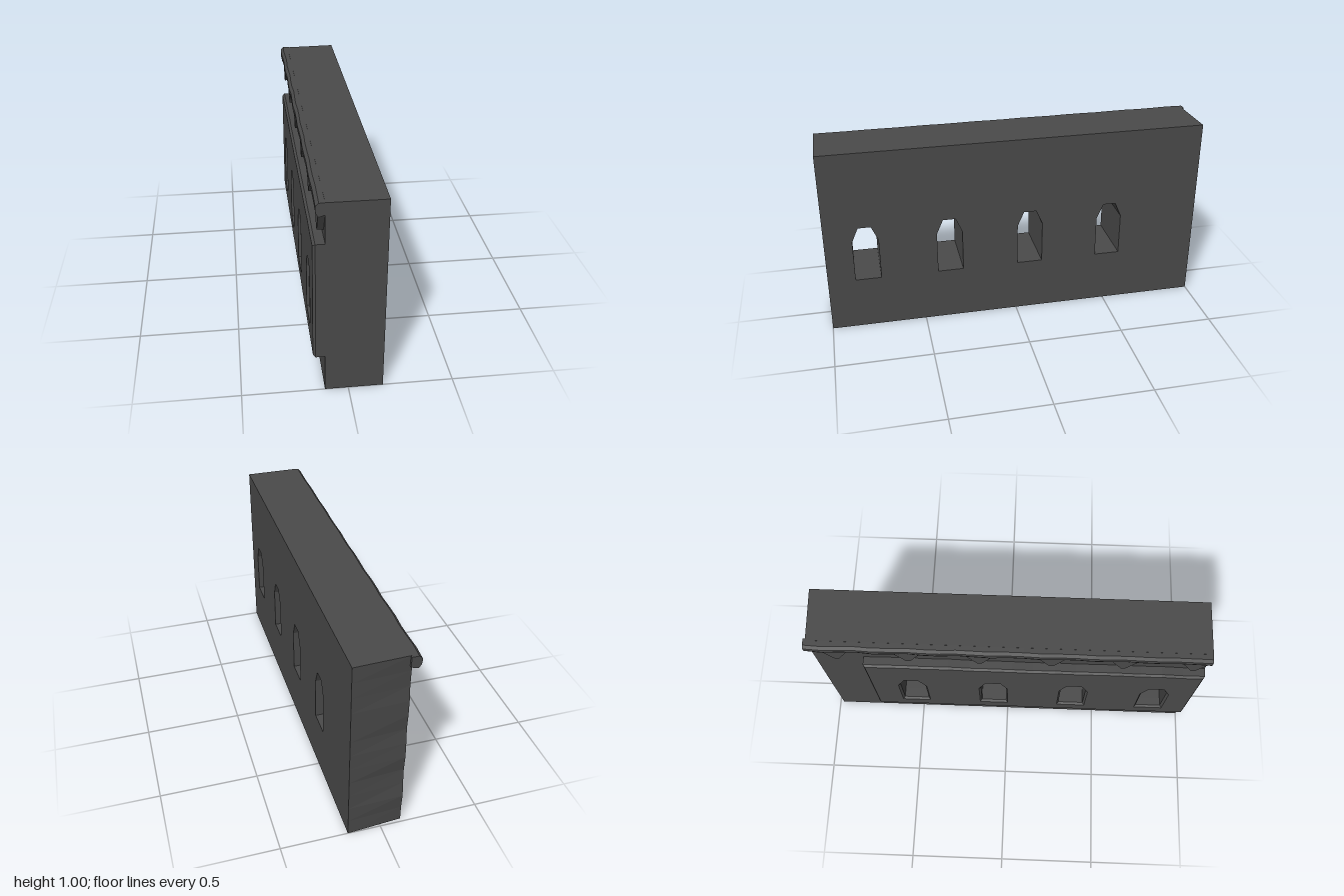
import * as THREE from 'three';

const stone = new THREE.MeshStandardMaterial({ color: 0x4a4a4a });
stone.name = 'dark stone';

const WINDOWS = [0.79, 0.355, -0.075, -0.51];
const BRACKETS = [-0.86, -0.5, -0.14, 0.22, 0.58, 0.93];

// small repeatable unevenness for worn edges
const wear = t => Math.sin(t * 23.1) * 0.6 + Math.sin(t * 51.7 + 1) * 0.4;

function add(group, name, geometry) {
  const mesh = new THREE.Mesh(geometry, stone);
  mesh.name = name;
  group.add(mesh);
}

// outlines are drawn in (z, y); the depth runs from x = fromX towards -x
function slab(shape, fromX, options) {
  const geo = new THREE.ExtrudeGeometry(shape, { bevelEnabled: false, ...options });
  geo.rotateY(-Math.PI / 2);
  geo.translate(fromX, 0, 0);
  return geo;
}

// pointed window openings
function cutWindows(shape) {
  for (const z of WINDOWS) {
    const pts = [[-0.067, 0.285], [-0.067, 0.51], [-0.033, 0.588], [0.033, 0.588], [0.067, 0.51], [0.067, 0.285]];
    shape.holes.push(new THREE.Path(pts.map(([dz, y]) => new THREE.Vector2(z + dz, y))));
  }
  return shape;
}

function wallGeometry() {
  const pts = [new THREE.Vector2(1, 0), new THREE.Vector2(1, 1)];
  for (let i = 0; i <= 12; i++) pts.push(new THREE.Vector2(-1, 1 - i / 12));
  const geo = slab(cutWindows(new THREE.Shape(pts)), 0.165, { depth: 0.275 });
  // chip the rear corner on the decorated side
  const p = geo.attributes.position;
  for (let i = 0; i < p.count; i++) {
    if (p.getX(i) < -0.1 && p.getZ(i) < -0.99) p.setZ(i, -0.985 + 0.012 * wear(p.getY(i)));
  }
  geo.computeVertexNormals();
  return geo;
}

function panelGeometry() {
  const pts = [];
  const n = 16;
  for (let i = 0; i <= n; i++) {
    const z = -0.735 + 1.735 * i / n;
    pts.push(new THREE.Vector2(z, 0.194 + 0.004 * wear(z)));
  }
  for (let i = n; i >= 0; i--) {
    const z = -0.735 + 1.735 * i / n;
    pts.push(new THREE.Vector2(z, 0.8 + 0.005 * wear(z + 2)));
  }
  return slab(cutWindows(new THREE.Shape(pts)), -0.1, {
    depth: 0.053, bevelEnabled: true, bevelThickness: 0.012,
    bevelSize: 0.01, bevelOffset: -0.01, bevelSegments: 1
  });
}

// rounded ledge: one profile swept along z, with a worn lip
function corniceGeometry() {
  const profile = [[-0.1, 0.945], [-0.137, 0.933], [-0.15, 0.948], [-0.154, 0.965], [-0.153, 0.985], [-0.138, 0.999], [-0.1, 0.999]];
  const shape = new THREE.Shape(profile.map(([x, y]) => new THREE.Vector2(x, y)).reverse());
  const geo = new THREE.ExtrudeGeometry(shape, { depth: 2, steps: 24, bevelEnabled: false });
  geo.translate(0, 0, -1);
  const p = geo.attributes.position;
  for (let i = 0; i < p.count; i++) {
    if (p.getX(i) > -0.11) continue;
    const w = wear(p.getZ(i));
    p.setX(i, p.getX(i) + 0.004 * (w + 0.5));
    if (p.getY(i) < 0.96) p.setY(i, p.getY(i) + 0.006 * w);
  }
  geo.computeVertexNormals();
  return geo;
}

export function createModel() {
  const model = new THREE.Group();
  model.name = 'wallSegment';
  add(model, 'wall', wallGeometry());
  add(model, 'raisedPanel', panelGeometry());
  add(model, 'cornice', corniceGeometry());

  // triangular brackets below the ledge
  const brackets = new THREE.Group();
  brackets.name = 'brackets';
  for (const z of BRACKETS) {
    const half = Math.min(0.075, 1 - z);
    const tri = new THREE.Shape([
      new THREE.Vector2(z - 0.075, 0.95), new THREE.Vector2(z - 0.01, 0.837),
      new THREE.Vector2(z + 0.01, 0.837), new THREE.Vector2(z + half, 0.95)
    ]);
    add(brackets, 'bracket', slab(tri, -0.1, { depth: 0.04 }));
  }
  model.add(brackets);
  return model;
}
